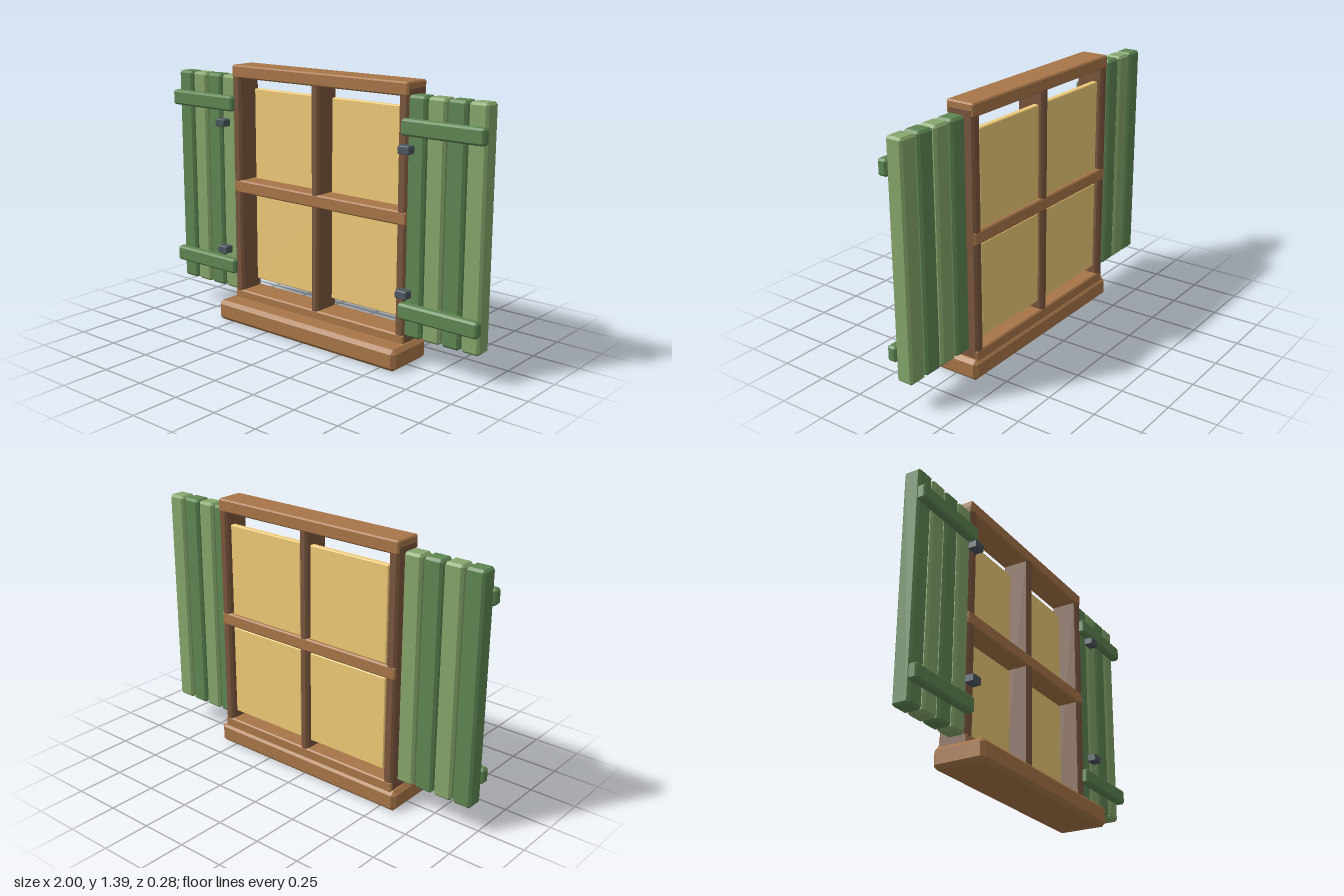
import * as THREE from 'three';
import { ConvexGeometry } from 'three/addons/geometries/ConvexGeometry.js';

const material = (color) => new THREE.MeshStandardMaterial({ color, flatShading: true });

// Box with all edges chamfered by c: the hull of three overlapping boxes' corners
function chamferBox(w, h, d, c) {
  const points = [];
  for (const sx of [-1, 1]) for (const sy of [-1, 1]) for (const sz of [-1, 1]) {
    for (let axis = 0; axis < 3; axis++) {
      const inset = [c, c, c];
      inset[axis] = 0;
      points.push(new THREE.Vector3(
        sx * (w / 2 - inset[0]), sy * (h / 2 - inset[1]), sz * (d / 2 - inset[2])));
    }
  }
  return new ConvexGeometry(points);
}

export function createModel() {
  const model = new THREE.Group();
  model.name = 'shutteredWindow';

  const wood = material(0xa87648);
  const darkWood = material(0x7a563d);
  const pane = material(0xf0cb78);
  const greens = [material(0x5f8753), material(0x86a66b)];
  const iron = material(0x4c585f);

  // Adds a chamfered block spanning the given ranges
  function block(parent, name, mat, [x0, x1], [y0, y1], [z0, z1], c = 0.01) {
    const mesh = new THREE.Mesh(chamferBox(x1 - x0, y1 - y0, z1 - z0, c), mat);
    mesh.name = name;
    mesh.position.set((x0 + x1) / 2, (y0 + y1) / 2, (z0 + z1) / 2);
    parent.add(mesh);
  }
  // The same x range on the left (+1) or right (-1) side
  const mirror = (side, a, b) => (side > 0 ? [a, b] : [-b, -a]);

  // Sill
  block(model, 'sill', wood, [-0.597, 0.597], [0, 0.11], [-0.139, 0.139], 0.02);

  // Frame: posts, central mullion and three rails
  const frame = new THREE.Group();
  frame.name = 'frame';
  model.add(frame);
  const uprightZ = [-0.126, 0.026];
  for (const side of [1, -1]) {
    block(frame, 'post', darkWood, mirror(side, 0.515, 0.57), [0.1, 1.37], uprightZ, 0.012);
  }
  block(frame, 'mullion', darkWood, [-0.025, 0.025], [0.1, 1.37], uprightZ, 0.012);
  for (const [name, y0, y1] of [['bottomRail', 0.09, 0.155], ['middleRail', 0.706, 0.774], ['topRail', 1.325, 1.392]]) {
    block(frame, name, wood, [-0.569, 0.569], [y0, y1], [-0.127, 0.027], 0.007);
  }

  // Four panes, set near the back of the frame
  for (const side of [1, -1]) {
    for (const y of [0.449, 1.014]) {
      block(model, 'pane', pane, mirror(side, 0.031, 0.503), [y - 0.247, y + 0.247], [-0.108, -0.077], 0.004);
    }
  }

  // Shutters: four planks in alternating greens, two battens and two hinges each
  for (const side of [1, -1]) {
    const shutter = new THREE.Group();
    shutter.name = side > 0 ? 'leftShutter' : 'rightShutter';
    model.add(shutter);
    for (let i = 0; i < 4; i++) {
      const x = 0.61 + i * 0.11;
      const tone = side > 0 ? i % 2 : (i + 1) % 2;
      block(shutter, 'plank', greens[tone], mirror(side, x - 0.05, x + 0.05), [0.148, 1.332], [-0.077, 0.016], 0.012);
    }
    for (const y of [0.287, 1.186]) {
      block(shutter, 'batten', greens[0], mirror(side, 0.55, 1), [y - 0.04, y + 0.04], [0.007, 0.058]);
    }
    for (const y of [0.388, 1.088]) {
      block(shutter, 'hinge', iron, mirror(side, 0.565, 0.63), [y - 0.02, y + 0.02], [0.049, 0.099], 0.004);
    }
  }

  return model;
}
